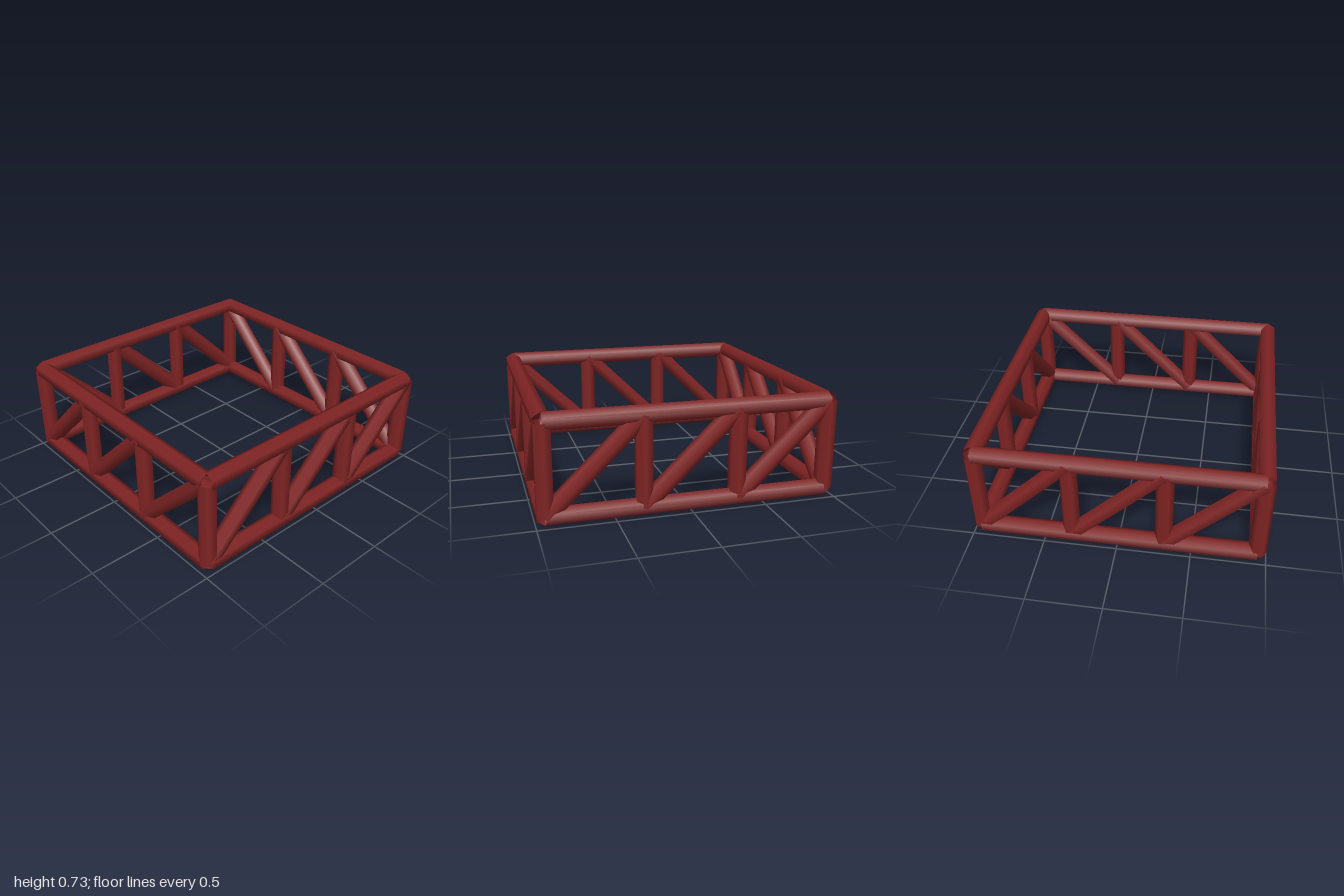
import * as THREE from 'three';

const R = 0.0606;             // tube radius
const A = 1 - R;              // half width of the square frame, on tube axes
const Y0 = R, Y1 = 11 * R;    // heights of the lower and upper chords
const BAYS = 3;
const BAY = (2 * A) / BAYS;

const material = new THREE.MeshStandardMaterial({ color: 0x802424, side: THREE.DoubleSide });

// Open hexagonal tube between two points; roll turns it about its own axis
function tube(name, from, to, roll = 0) {
  const a = new THREE.Vector3(...from), b = new THREE.Vector3(...to);
  const dir = b.clone().sub(a);
  const mesh = new THREE.Mesh(
    new THREE.CylinderGeometry(R, R, dir.length(), 6, 1, true, roll), material);
  mesh.name = name;
  mesh.position.copy(a).add(b).multiplyScalar(0.5);
  mesh.quaternion.setFromUnitVectors(new THREE.Vector3(0, 1, 0), dir.normalize());
  return mesh;
}

export function createModel() {
  const model = new THREE.Group();
  model.name = 'squareTrussFrame';

  // Each side runs from its left corner to its right corner, seen from outside
  const sides = [
    { name: 'front', start: [-A, A], step: [1, 0] },
    { name: 'left', start: [A, A], step: [0, -1] },
    { name: 'back', start: [A, -A], step: [-1, 0] },
    { name: 'right', start: [-A, -A], step: [0, 1] },
  ];

  for (const { name, start, step } of sides) {
    const panel = new THREE.Group();
    panel.name = name + 'Truss';
    const at = (i, y) => [start[0] + step[0] * BAY * i, y, start[1] + step[1] * BAY * i];

    // Chords, with a ridge of the hexagon on top
    const roll = step[0] ? Math.PI / 2 : 0;
    panel.add(tube('lowerChord', at(0, Y0), at(BAYS, Y0), roll));
    panel.add(tube('upperChord', at(0, Y1), at(BAYS, Y1), roll));

    // One post and one rising diagonal per bay; the next side closes the last bay
    for (let i = 0; i < BAYS; i++) {
      panel.add(tube(i ? 'post' : 'cornerPost', at(i, Y0), at(i, Y1)));
      panel.add(tube('diagonal', at(i, Y0), at(i + 1, Y1)));
    }
    model.add(panel);
  }
  return model;
}
